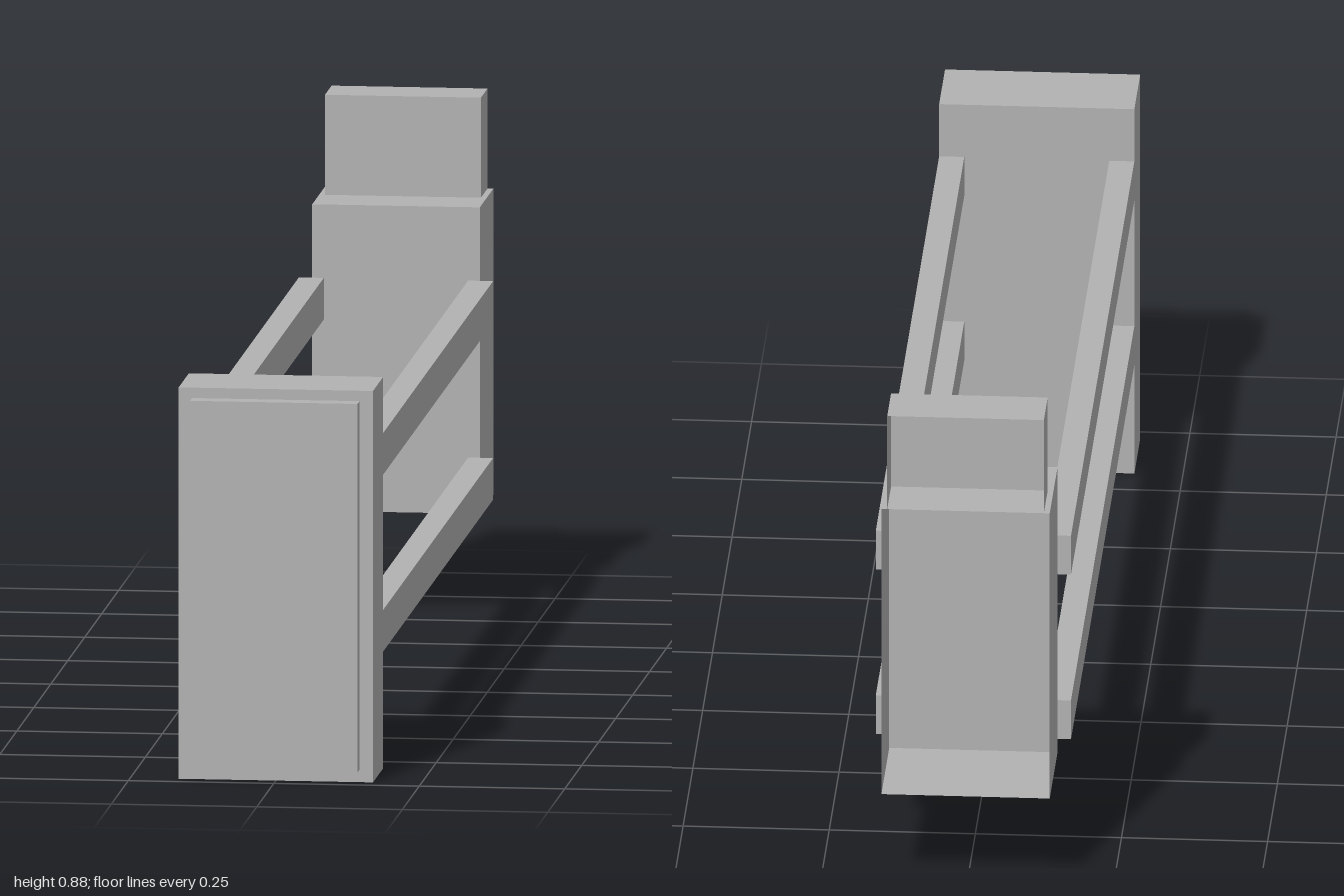
import * as THREE from 'three';

export function createModel() {
  const model = new THREE.Group();
  const grey = new THREE.MeshStandardMaterial({ color: 0xb2b2b2, side: THREE.DoubleSide });
  grey.name = 'plain grey';

  // Box given by its limits; an open box lacks its back (-z) face
  function box(name, [x0, x1], [y0, y1], [z0, z1], openBack = false) {
    const geometry = new THREE.BoxGeometry(x1 - x0, y1 - y0, z1 - z0);
    if (openBack) {
      geometry.setIndex(Array.from(geometry.index.array).slice(0, 30));
      geometry.clearGroups();
    }
    const mesh = new THREE.Mesh(geometry, grey);
    mesh.name = name;
    mesh.position.set((x0 + x1) / 2, (y0 + y1) / 2, (z0 + z1) / 2);
    model.add(mesh);
  }

  // Front block with its raised panel
  box('frontBlock', [-0.167, 0.167], [0, 0.677], [0.82, 0.97]);
  box('frontPanel', [-0.144, 0.144], [0.022, 0.659], [0.97, 1]);

  // Hollow rear housing and the smaller hollow box on top
  box('rearHousing', [-0.144, 0.144], [0.177, 0.707], [-1, -0.8], true);
  box('rearTopBox', [-0.134, 0.134], [0.707, 0.88], [-1, -0.902], true);

  // Four long rails joining the two ends
  for (const [level, y] of [['lower', [0.202, 0.274]], ['upper', [0.508, 0.58]]]) {
    box(level + 'LeftRail', [0.124, 0.167], y, [-0.8, 0.82]);
    box(level + 'RightRail', [-0.167, -0.124], y, [-0.8, 0.82]);
  }

  return model;
}
